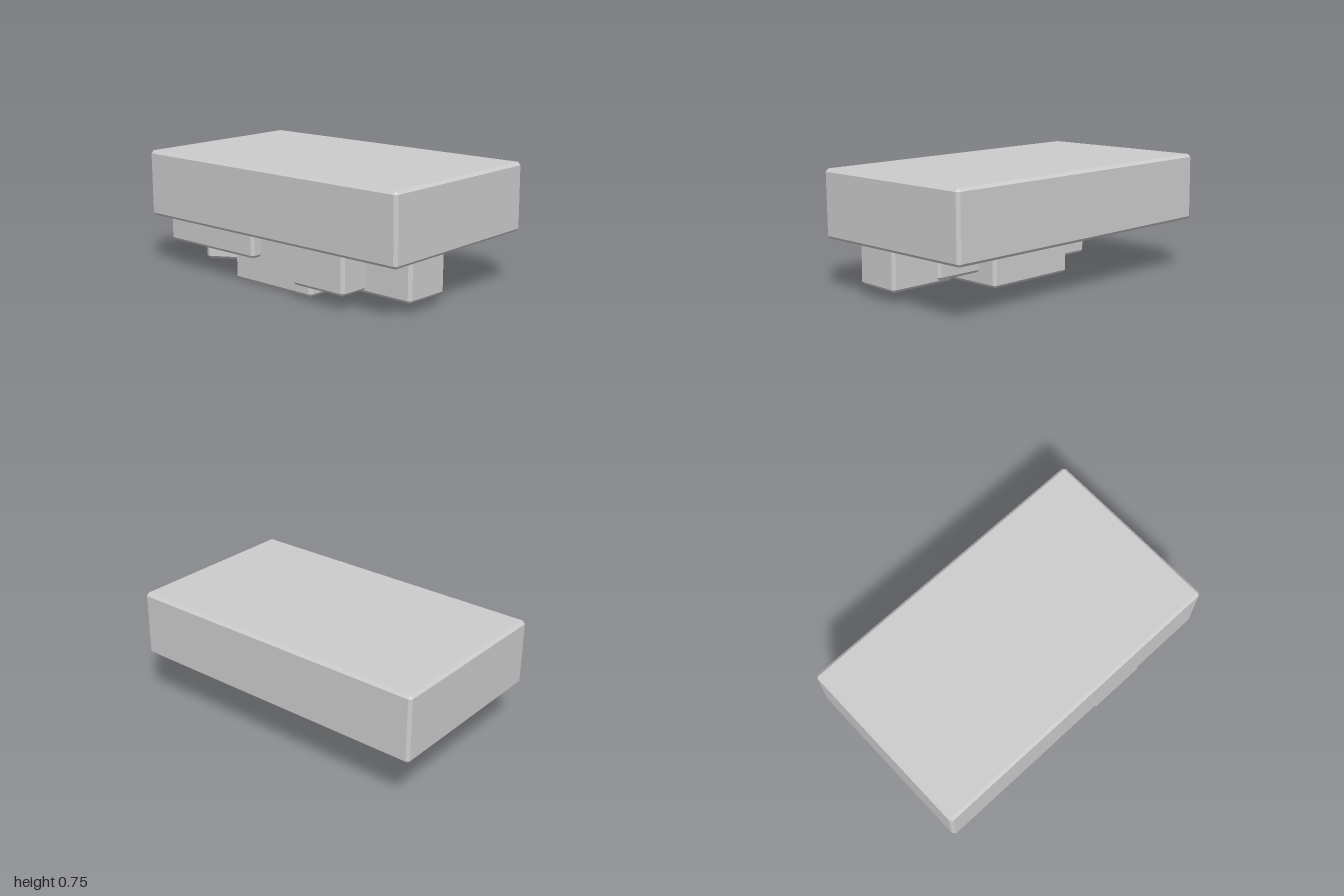
import * as THREE from 'three';
import { ConvexGeometry } from 'three/addons/geometries/ConvexGeometry.js';

const grey = new THREE.MeshStandardMaterial({ color: 0xcccccc, flatShading: true });

// Box with every edge cut off by a flat bevel
function bevelBox(w, h, d, b) {
  const points = [];
  for (const x of [-1, 1]) for (const y of [-1, 1]) for (const z of [-1, 1]) {
    for (const axis of [0, 1, 2]) {
      const inset = [b, b, b];
      inset[axis] = 0;
      points.push(new THREE.Vector3(
        x * (w / 2 - inset[0]), y * (h / 2 - inset[1]), z * (d / 2 - inset[2])));
    }
  }
  return new ConvexGeometry(points);
}

// Block given by its x, y and z ranges, with a slight tilt and turn about its centre
function block(name, [x0, x1], [y0, y1], [z0, z1], tilt = 0, turn = 0, bevel = 0.018) {
  const mesh = new THREE.Mesh(bevelBox(x1 - x0, y1 - y0, z1 - z0, bevel), grey);
  mesh.name = name;
  mesh.position.set((x0 + x1) / 2, (y0 + y1) / 2, (z0 + z1) / 2);
  mesh.rotation.set(tilt, turn, 0);
  return mesh;
}

export function createModel() {
  const model = new THREE.Group();
  model.name = 'slabOnBlocks';

  // Large slab, rising slightly towards the back
  model.add(block('slab', [-1, 1], [0.324, 0.741], [-0.583, 0.583], 0.009));

  // Blocks hanging under the slab, their tops sunk into it
  model.add(
    block('centreBlock', [-0.35, 0.285], [0.003, 0.42], [-0.105, 0.47], 0.009),
    block('frontLeftBlock', [0.21, 0.605], [0.085, 0.42], [0.03, 0.55]),
    block('sideLeftBlock', [0.47, 0.925], [0.066, 0.42], [0.05, 0.36], -0.01),
    block('frontRightBlock', [-0.865, -0.12], [0.173, 0.42], [0.05, 0.54]),
    block('innerRightBlock', [-0.6, -0.15], [0.085, 0.42], [-0.03, 0.3]),
    block('turnedBlock', [-0.74, -0.43], [0.066, 0.36], [0.115, 0.375], 0, 0.55),
  );
  return model;
}
